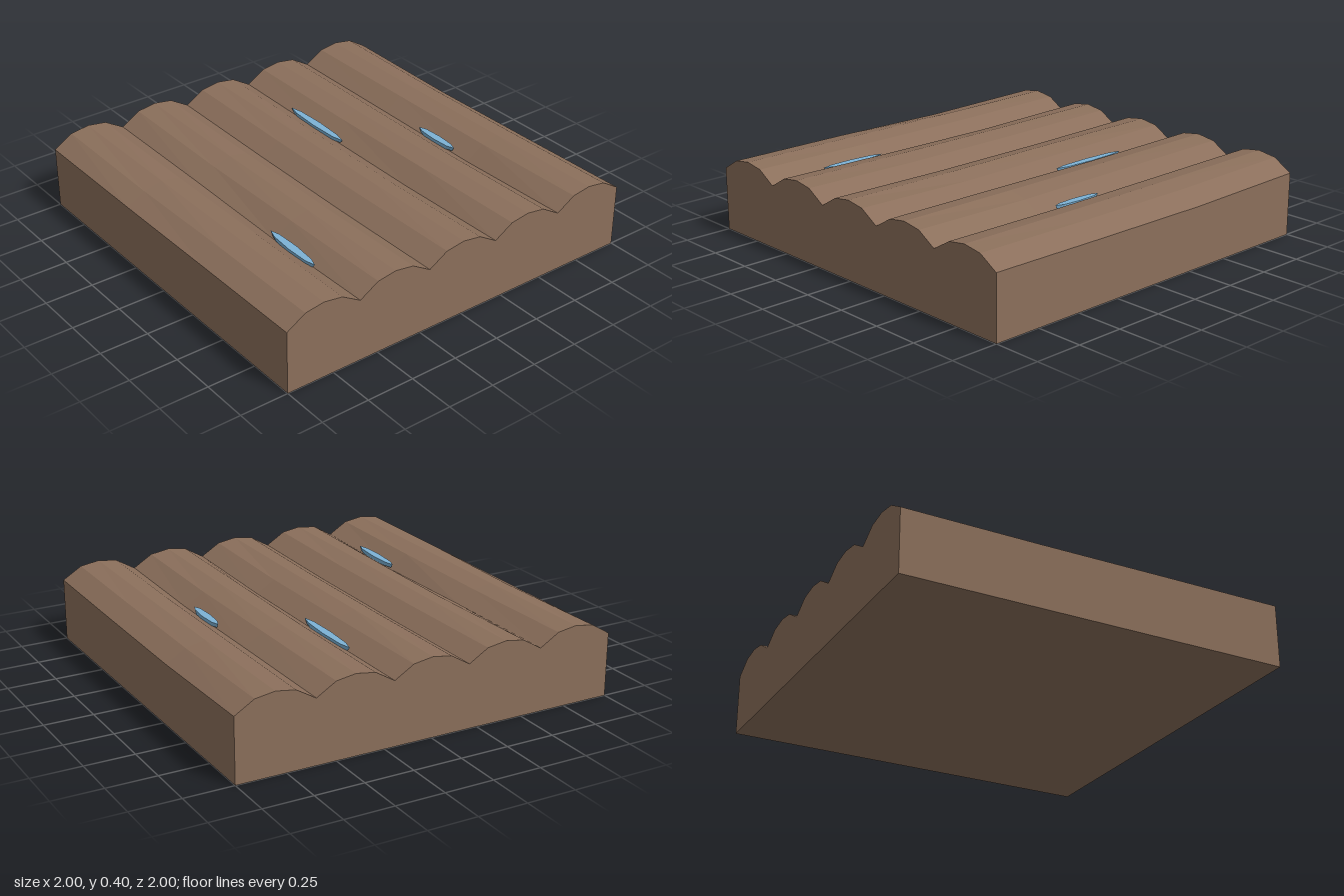
import * as THREE from 'three';

const soilMat = new THREE.MeshStandardMaterial({ color: 0x8b6f5b });
const waterMat = new THREE.MeshStandardMaterial({ color: 0x7cb2d6 });

const COLS = 20;                          // four columns per ridge
const PROFILE = [0.325, 0.385, 0.4, 0.385]; // groove, shoulder, crest, shoulder
const ROWS = [-1, -0.3, 0.35, 1];

// Small repeatable dip between 0 and 1 for each grid point
function dip(i, j) {
  const s = Math.sin(i * 12.9898 + j * 78.233) * 43758.5453;
  return s - Math.floor(s);
}

function flat(geometry) {
  const g = geometry.toNonIndexed();
  g.computeVertexNormals();
  return g;
}

// Block of earth whose upper face is moulded into five long furrowed ridges
function soilGeometry() {
  const geo = new THREE.BoxGeometry(2, 1, 2, COLS, 1, ROWS.length - 1);
  const pos = geo.attributes.position;
  for (let k = 0; k < pos.count; k++) {
    const i = Math.round((pos.getX(k) + 1) * COLS / 2);
    const j = Math.round((pos.getZ(k) + 1) * (ROWS.length - 1) / 2);
    const inner = j > 0 && j < ROWS.length - 1;
    const crest = i % 4 === 2;
    let y = 0;
    if (pos.getY(k) > 0) y = PROFILE[i % 4] - (inner ? dip(i, j) * (crest ? 0.004 : 0.014) : 0);
    pos.setXYZ(k, -1 + i * 2 / COLS, y, ROWS[j]);
  }
  return flat(geo);
}

// Narrow sliver of standing water lying in a groove
function puddle(name, x, z, length, turn) {
  const geo = new THREE.CylinderGeometry(1, 0.9, 0.022, 8);
  geo.scale(0.022, 1, length / 2);
  const mesh = new THREE.Mesh(flat(geo), waterMat);
  mesh.name = name;
  mesh.position.set(x, 0.335, z);
  mesh.rotation.y = turn;
  return mesh;
}

export function createModel() {
  const model = new THREE.Group();
  model.name = 'ploughedField';

  const soil = new THREE.Mesh(soilGeometry(), soilMat);
  soil.name = 'furrowedSoil';
  model.add(soil);

  model.add(
    puddle('puddleRight', -0.603, 0.5, 0.36, -0.03),
    puddle('puddleMiddle', 0.2, -0.38, 0.45, -0.015),
    puddle('puddleLeft', 0.6, 0.11, 0.28, -0.02)
  );
  return model;
}
